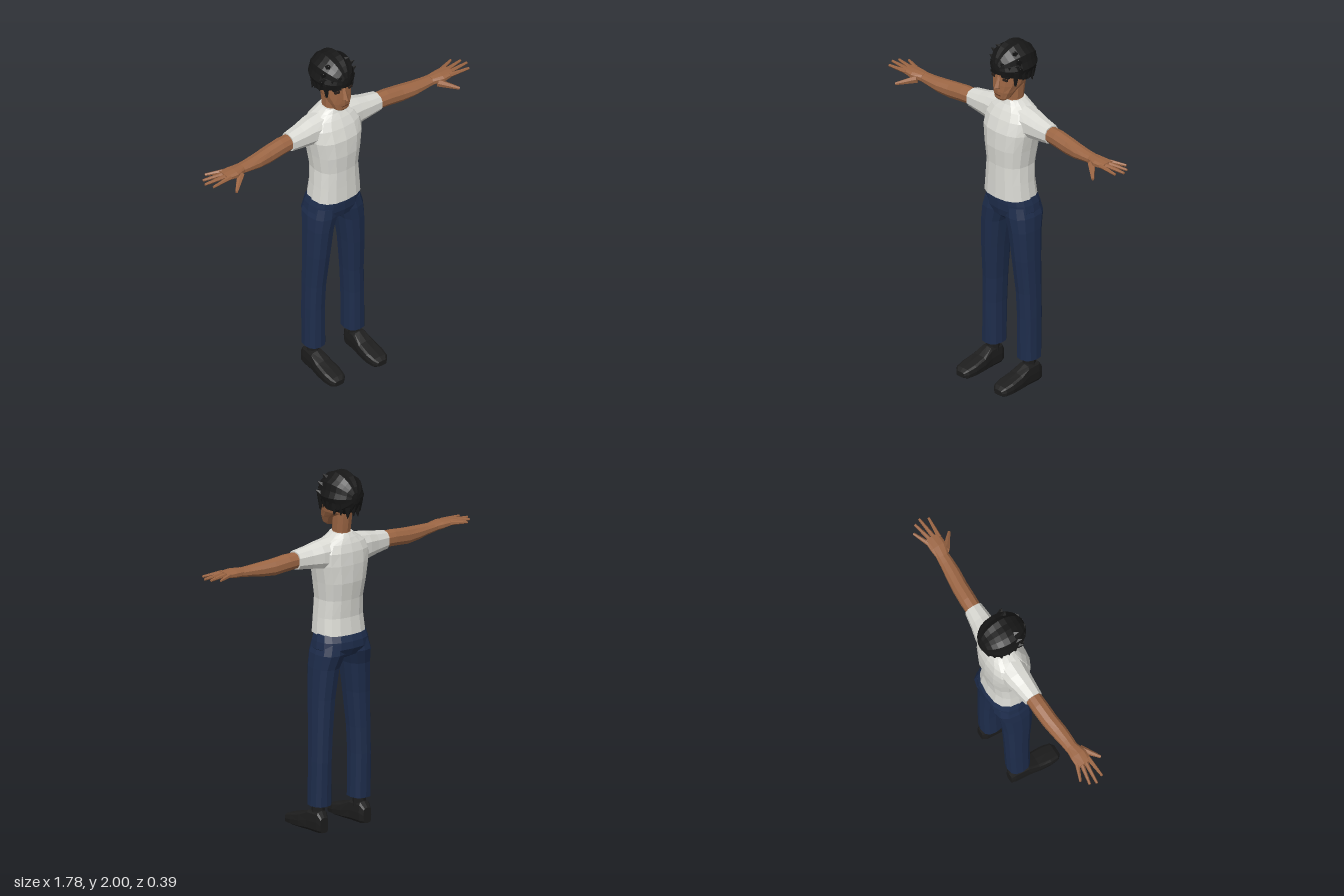
import * as THREE from 'three';

const mat = (name, color) => {
  const m = new THREE.MeshStandardMaterial({ color });
  m.name = name;
  return m;
};

// Closed loft through superellipse rings along an axis.
// Each ring: [position, uMin, uMax, vMin, vMax]; (u, v) = (y,z) for x, (z,x) for y, (x,y) for z.
function loft(axis, rings, n = 12, p = 2.5) {
  const a = 'xyz'.indexOf(axis), pos = [], idx = [];
  const put = (w, u, v) => {
    const q = [0, 0, 0];
    q[a] = w; q[(a + 1) % 3] = u; q[(a + 2) % 3] = v;
    pos.push(...q);
  };
  const pw = c => Math.sign(c) * Math.abs(c) ** (2 / p);
  for (const [w, u0, u1, v0, v1] of rings)
    for (let i = 0; i < n; i++) {
      const t = i / n * Math.PI * 2;
      put(w, (u0 + u1) / 2 + (u1 - u0) / 2 * pw(Math.cos(t)), (v0 + v1) / 2 + (v1 - v0) / 2 * pw(Math.sin(t)));
    }
  for (const [w, u0, u1, v0, v1] of [rings[0], rings.at(-1)]) put(w, (u0 + u1) / 2, (v0 + v1) / 2);
  const last = (rings.length - 1) * n, c = rings.length * n;
  for (let i = 0; i < n; i++) {
    const j = (i + 1) % n;
    for (let r = 0; r < last; r += n) idx.push(r + i, r + j, r + n + j, r + i, r + n + j, r + n + i);
    idx.push(c, j, i, c + 1, last + i, last + j);
  }
  const g = new THREE.BufferGeometry();
  g.setAttribute('position', new THREE.Float32BufferAttribute(pos, 3));
  g.setIndex(idx);
  return flat(g);
}

// Faceted normals
function flat(g) {
  const f = g.index ? g.toNonIndexed() : g;
  f.computeVertexNormals();
  return f;
}

// Vertical loft centred on x = 0 from [y, halfWidth, zFront, zBack]
const body = (rows, n, p) => loft('y', rows.map(([y, r, f, b]) => [y, b, f, -r, r]), n, p);

// Tapered round piece between two points
function taper(a, b, r0, r1, n = 6) {
  const A = new THREE.Vector3(...a), B = new THREE.Vector3(...b), d = B.clone().sub(A);
  const g = new THREE.CylinderGeometry(r1, r0, d.length(), n);
  g.applyQuaternion(new THREE.Quaternion().setFromUnitVectors(new THREE.Vector3(0, 1, 0), d.normalize()));
  g.translate(...A.add(B).multiplyScalar(0.5).toArray());
  return flat(g);
}

// Mirror across x, keeping faces outward
function mirror(g) {
  const m = g.clone().toNonIndexed(), p = m.attributes.position;
  for (let i = 0; i < p.count; i += 3) {
    const v = [0, 2, 1].map(k => new THREE.Vector3().fromBufferAttribute(p, i + k));
    v.forEach((q, k) => p.setXYZ(i + k, -q.x, q.y, q.z));
  }
  return flat(m);
}

export function createModel() {
  const root = new THREE.Group();
  root.name = 'standingMan';
  const skin = mat('skin', 0x9c6644), lip = mat('lip', 0x5c3724), shirt = mat('shirtWhite', 0xdadad4),
    denim = mat('trouserBlue', 0x1e2d4c), hair = mat('hairBlack', 0x171717),
    shoe = mat('shoeBlack', 0x1d1d1d), eye = mat('eyeDark', 0x2a201b);
  const add = (name, g, m) => {
    const mesh = new THREE.Mesh(g, m);
    mesh.name = name;
    root.add(mesh);
  };
  const pair = (name, g, m) => {
    add(name + 'Left', g, m);
    add(name + 'Right', mirror(g), m);
  };

  // Shirt
  add('shirtBody', body([
    [1.105, 0.147, 0.078, -0.157], [1.2, 0.138, 0.075, -0.145], [1.3, 0.131, 0.073, -0.152],
    [1.4, 0.145, 0.08, -0.168], [1.5, 0.163, 0.075, -0.17], [1.57, 0.163, 0.05, -0.165],
    [1.615, 0.135, 0.025, -0.152], [1.645, 0.085, 0.005, -0.138], [1.667, 0.056, -0.004, -0.125]], 16), shirt);
  pair('sleeve', loft('x', [
    [0.08, 1.46, 1.645, -0.14, 0.02], [0.16, 1.482, 1.632, -0.13, 0.012],
    [0.22, 1.492, 1.618, -0.115, 0.008], [0.302, 1.503, 1.605, -0.1, 0.002]], 10), shirt);

  // Arms
  pair('arm', loft('x', [
    [0.27, 1.512, 1.598, -0.093, -0.005], [0.36, 1.505, 1.598, -0.092, 0],
    [0.45, 1.496, 1.588, -0.086, 0.004], [0.53, 1.504, 1.58, -0.076, 0.012],
    [0.6, 1.517, 1.575, -0.066, 0.012], [0.66, 1.525, 1.573, -0.06, 0.01]], 10, 2.2), skin);
  pair('palm', loft('x', [
    [0.64, 1.526, 1.574, -0.058, 0.01], [0.7, 1.53, 1.576, -0.064, 0.03], [0.765, 1.542, 1.572, -0.066, 0.026]], 10), skin);
  const tips = [[0.835, -0.09], [0.875, -0.056], [0.89, -0.02], [0.868, 0.026]];
  tips.forEach(([x, z], i) =>
    pair('finger' + (i + 1), taper([0.745, 1.558, -0.053 + i * 0.023], [x, 1.555, z], 0.013, 0.007), skin));
  pair('thumb', taper([0.67, 1.54, 0.01], [0.758, 1.506, 0.086], 0.022, 0.008), skin);

  // Trousers
  add('hips', body([
    [0.965, 0.05, 0.02, -0.1], [0.99, 0.13, 0.048, -0.15], [1.03, 0.163, 0.058, -0.17],
    [1.07, 0.157, 0.06, -0.168], [1.12, 0.143, 0.06, -0.148]], 16), denim);
  pair('trouserLeg', loft('y', [
    [0.15, -0.11, 0.02, 0.075, 0.192], [0.4, -0.118, 0.02, 0.077, 0.188], [0.55, -0.12, 0.024, 0.07, 0.185],
    [0.75, -0.125, 0.042, 0.053, 0.181], [0.92, -0.14, 0.052, 0.032, 0.175],
    [1.0, -0.163, 0.056, 0.004, 0.168], [1.06, -0.155, 0.05, 0, 0.15]], 12), denim);

  // Socks and shoes
  pair('sock', taper([0.139, 0.09, -0.042], [0.139, 0.2, -0.042], 0.036, 0.036, 8), shoe);
  pair('shoe', loft('z', [
    [-0.105, 0.12, 0.172, 0.004, 0.09], [-0.08, 0.106, 0.18, 0, 0.122], [0, 0.1, 0.186, 0, 0.12],
    [0.06, 0.09, 0.196, 0, 0.088], [0.13, 0.086, 0.201, 0, 0.068],
    [0.178, 0.094, 0.194, 0, 0.054], [0.197, 0.115, 0.175, 0.006, 0.036]], 12, 4), shoe);

  // Neck and head
  add('neck', body([[1.62, 0.06, 0, -0.125], [1.67, 0.046, -0.012, -0.118], [1.8, 0.05, -0.012, -0.138]], 10, 2.2), skin);
  add('head', body([
    [1.688, 0.03, 0.05, 0], [1.7, 0.046, 0.058, -0.012], [1.74, 0.064, 0.061, -0.05], [1.78, 0.08, 0.06, -0.12],
    [1.83, 0.089, 0.055, -0.145], [1.9, 0.09, 0.052, -0.15], [1.95, 0.06, 0.02, -0.11]], 12), skin);
  add('nose', body([[1.757, 0.015, 0.066, 0.02], [1.768, 0.019, 0.086, 0.02], [1.84, 0.008, 0.058, 0.02]], 6, 2), skin);
  add('mouth', new THREE.BoxGeometry(0.04, 0.004, 0.008).translate(0, 1.72, 0.057), lip);
  const facePlate = (w, h, y, z) => flat(new THREE.BoxGeometry(w, h, 0.009).rotateY(0.22).translate(0.044, y, z));
  pair('eyebrow', facePlate(0.046, 0.012, 1.838, 0.047), hair);
  pair('eye', facePlate(0.03, 0.014, 1.82, 0.0465), eye);

  // Hair cap with front-to-back ridges, trimmed along a sloping hairline
  const cap = new THREE.SphereGeometry(1, 20, 12).rotateX(Math.PI / 2), p = cap.attributes.position;
  for (let i = 0; i < p.count; i++) {
    const x = p.getX(i), y = p.getY(i), z = -0.061 + 0.137 * p.getZ(i);
    const k = 1 + 0.04 * Math.cos(10 * Math.atan2(y, x));
    p.setXYZ(i, 0.112 * x * k, Math.max(1.877 + 0.125 * y * k, 1.846 + (z - 0.06) * 0.35), z);
  }
  add('hairCap', flat(cap), hair);

  // Pointed locks around the hairline
  for (let i = 0; i < 18; i++) {
    const a = i / 18 * Math.PI * 2, s = Math.sin(a), c = Math.cos(a);
    const y = 1.842 - 0.04 * (1 - c) + (i % 2) * 0.012;
    add('hairLock' + (i + 1), taper([0.088 * s, y + 0.065, -0.058 + 0.108 * c],
      [0.102 * s, y, -0.055 + 0.118 * c], 0.026, 0.002, 5), hair);
  }
  // Sideburns and tufts at the sides of the crown
  pair('sideburn', taper([0.086, 1.87, 0.005], [0.084, 1.785, 0.008], 0.02, 0.006, 5), hair);
  [[0.118, 1.9], [0.104, 1.945], [0.07, 1.98]].forEach(([x, y], i) =>
    pair('tuft' + (i + 1), taper([x * 0.75, y - 0.03, -0.02], [x, y, 0.005], 0.028, 0.002, 5), hair));
  return root;
}
